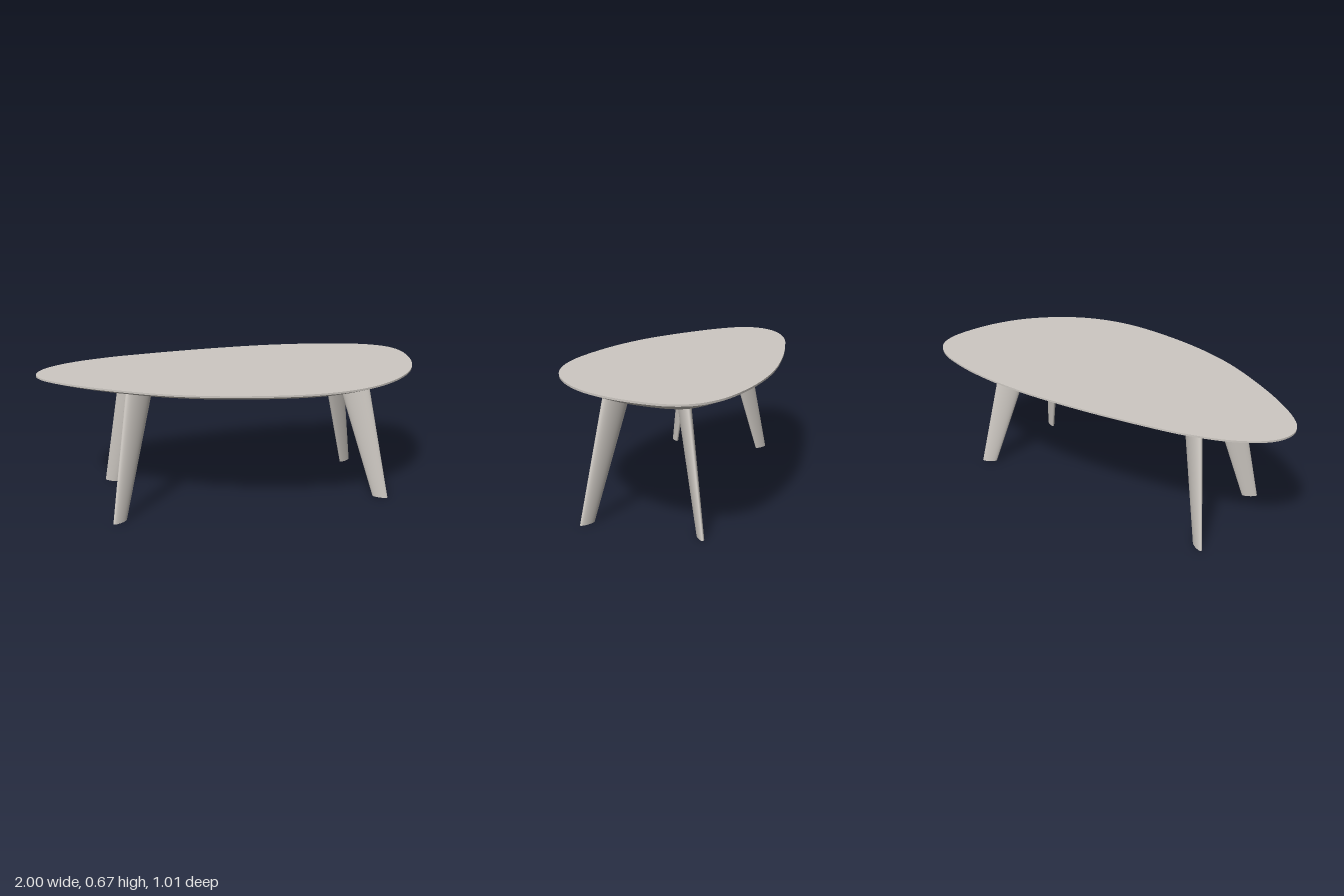
import * as THREE from 'three';
import { mergeGeometries } from 'three/addons/utils/BufferGeometryUtils.js';

const TOP = 0.67, RIM = 0.661, UNDER = 0.63, SEGMENTS = 160;

// Plan outline of the table top as x, z pairs, from the narrow end round the back
const OUTLINE = [
  [-1, -0.14], [-0.965, -0.23], [-0.85, -0.325], [-0.64, -0.405], [-0.4, -0.45], [-0.1, -0.488],
  [0.22, -0.507], [0.45, -0.497], [0.68, -0.46], [0.86, -0.4], [0.96, -0.32], [0.996, -0.22],
  [0.985, -0.08], [0.945, 0.06], [0.87, 0.2], [0.75, 0.33], [0.6, 0.43], [0.45, 0.482],
  [0.28, 0.502], [0.05, 0.483], [-0.2, 0.43], [-0.42, 0.35], [-0.62, 0.24], [-0.8, 0.118],
  [-0.93, 0.005], [-0.985, -0.07],
];

// Smooth strip between two closed rings, upper ring first
function band(upper, lower) {
  const n = upper.length, index = [];
  for (let i = 0; i < n; i++) {
    const j = (i + 1) % n;
    index.push(i, j, n + j, i, n + j, n + i);
  }
  return surface([...upper, ...lower], index);
}

// Flat cap filling a ring, facing up or down
function cap(ring, up) {
  const n = ring.length, index = [];
  for (let i = 0; i < n; i++) {
    const j = (i + 1) % n;
    index.push(n, up ? j : i, up ? i : j);
  }
  return surface([...ring, new THREE.Vector3(0, ring[0].y, 0)], index);
}

function surface(points, index) {
  const geometry = new THREE.BufferGeometry().setFromPoints(points);
  geometry.setIndex(index);
  geometry.computeVertexNormals();
  return geometry;
}

function tableTopGeometry() {
  const curve = new THREE.CatmullRomCurve3(
    OUTLINE.map(([x, z]) => new THREE.Vector3(x, 0, z)), true, 'centripetal');
  // Ring at a height, moved inwards along the outline normal
  const ring = (y, inset) => Array.from({ length: SEGMENTS }, (_, i) => {
    const p = curve.getPointAt(i / SEGMENTS), t = curve.getTangentAt(i / SEGMENTS);
    return new THREE.Vector3(p.x - t.z * inset, y, p.z + t.x * inset);
  });
  const top = ring(TOP, 0), rim = ring(RIM, 0), under = ring(UNDER, 0.078);
  return mergeGeometries([cap(top, true), band(top, rim), band(rim, under), cap(under, false)]);
}

// Tapered oval leg, its long axis pointing outwards, leaning from top to foot
function legGeometry(sx, sz) {
  const foot = [0.04 + sx * 0.685, -0.012 + sz * 0.27];
  const head = [0.034 + sx * 0.547, -0.007 + sz * 0.15];
  const geometry = new THREE.CylinderGeometry(0.08, 0.04, UNDER, 48);
  geometry.scale(1, 1, 0.34);
  geometry.rotateY(-Math.atan2(sz * 0.53, sx * 0.85));
  geometry.translate(0, UNDER / 2, 0);
  const kx = (head[0] - foot[0]) / UNDER, kz = (head[1] - foot[1]) / UNDER;
  geometry.applyMatrix4(new THREE.Matrix4().set(
    1, kx, 0, foot[0],
    0, 1, 0, 0,
    0, kz, 1, foot[1],
    0, 0, 0, 1));
  return geometry;
}

export function createModel() {
  const group = new THREE.Group();
  group.name = 'coffeeTable';
  const paleGrey = new THREE.MeshStandardMaterial({ color: 0xcdc8c2 });
  paleGrey.name = 'pale warm grey';

  const add = (name, geometry) => {
    const mesh = new THREE.Mesh(geometry, paleGrey);
    mesh.name = name;
    group.add(mesh);
  };

  add('tableTop', tableTopGeometry());
  for (const sx of [-1, 1]) {
    for (const sz of [-1, 1]) {
      add((sz > 0 ? 'front' : 'back') + (sx > 0 ? 'Left' : 'Right') + 'Leg', legGeometry(sx, sz));
    }
  }
  return group;
}
